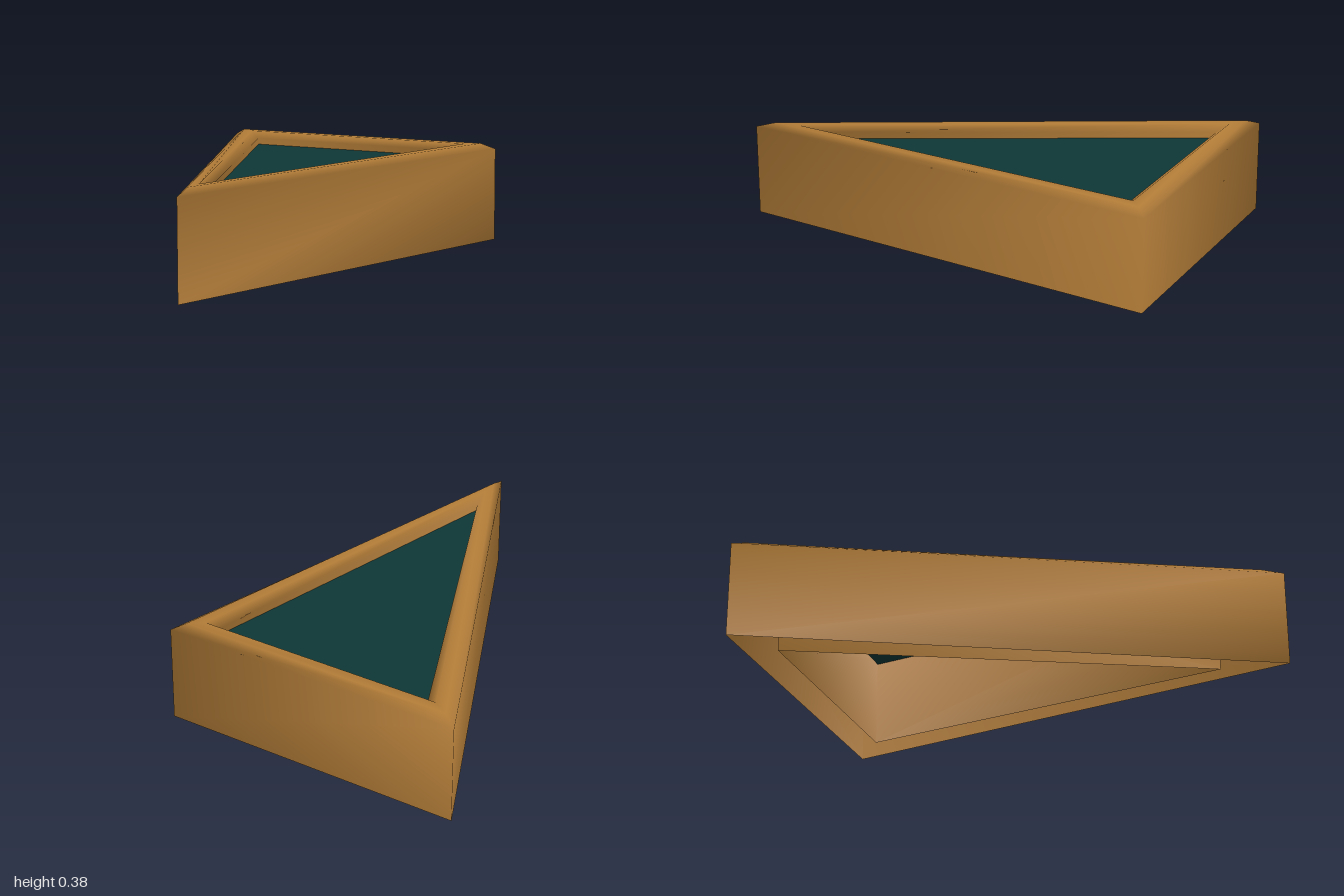
import * as THREE from 'three';

// Plan corners [x, z]: back, side and front tips of the triangle
const OUTER = [[-0.46, -1], [0.583, -0.39], [-0.583, 1]];
const INNER = [[-0.365, -0.81], [0.405, -0.36], [-0.49, 0.77]];

// Point between the outer (t = 0) and inner (t = 1) triangle corner
function corner(i, t, y) {
  const [ox, oz] = OUTER[i], [ix, iz] = INNER[i];
  return [ox + (ix - ox) * t, y, oz + (iz - oz) * t];
}

function build(points, index) {
  const geometry = new THREE.BufferGeometry();
  geometry.setAttribute('position', new THREE.Float32BufferAttribute(points.flat(), 3));
  geometry.setIndex(index);
  geometry.computeVertexNormals();
  return geometry;
}

// Hollow frame: bevelled section [t, y] swept round three mitred corners, open below
function frameGeometry() {
  const section = [[0, 0], [0, 0.362], [0.33, 0.385], [0.7, 0.385], [1, 0.36], [1, 0]];
  const n = section.length, points = [], index = [];
  for (let i = 0; i < 3; i++) {
    for (const [t, y] of section) points.push(corner(i, t, y));
    const a = i * n, b = ((i + 1) % 3) * n;
    for (let k = 0; k < n - 1; k++) {
      index.push(a + k, a + k + 1, b + k, b + k, a + k + 1, b + k + 1);
    }
  }
  return build(points, index);
}

export function createModel() {
  const wood = new THREE.MeshStandardMaterial({ color: 0xb27c37, side: THREE.DoubleSide });
  wood.name = 'warm wood';
  const green = new THREE.MeshStandardMaterial({ color: 0x0e3636, side: THREE.DoubleSide });
  green.name = 'dark green';

  const frame = new THREE.Mesh(frameGeometry(), wood);
  frame.name = 'frame';

  // Thin panel, its edges tucked under the rim
  const panelPoints = [0, 1, 2].map((i) => corner(i, 0.4, 0.335));
  const panel = new THREE.Mesh(build(panelPoints, [0, 2, 1]), green);
  panel.name = 'insetPanel';

  const model = new THREE.Group();
  model.name = 'triangularTray';
  model.add(frame, panel);
  return model;
}
